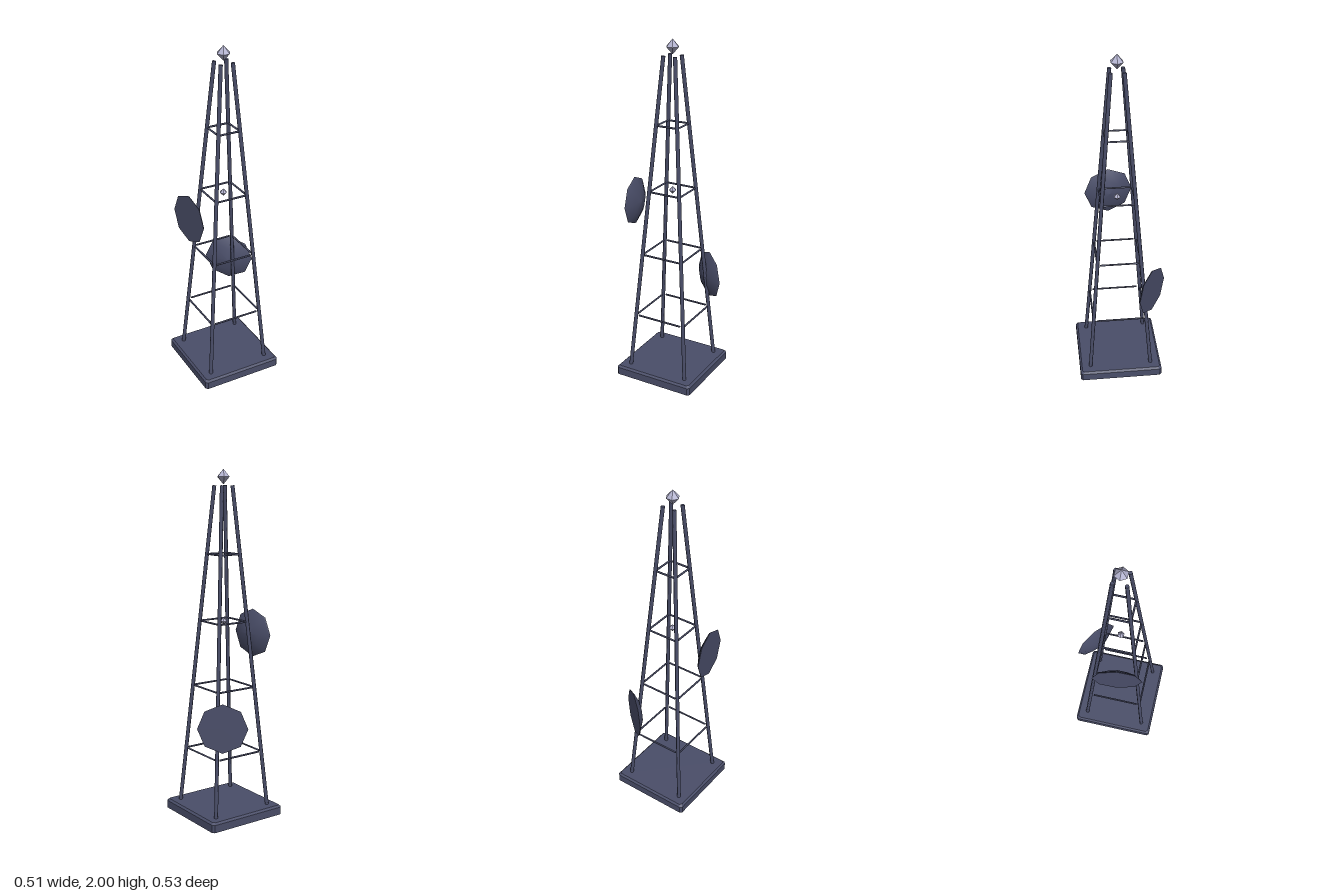
import * as THREE from 'three';

const AXIS_Z = 0.0125; // the tower stands slightly forward of the centre
const LEG_TOP = 1.91, SPREAD_BOTTOM = 0.188, SPREAD_TOP = 0.036;

// Half-width of the tower at height y
const spreadAt = y => THREE.MathUtils.lerp(SPREAD_BOTTOM, SPREAD_TOP, y / LEG_TOP);

// Round bar between two points
function bar(name, a, b, radius, sides, material) {
  const dir = b.clone().sub(a);
  const mesh = new THREE.Mesh(new THREE.CylinderGeometry(radius, radius, dir.length(), sides), material);
  mesh.name = name;
  mesh.position.copy(a).add(b).multiplyScalar(0.5);
  mesh.quaternion.setFromUnitVectors(new THREE.Vector3(0, 1, 0), dir.normalize());
  return mesh;
}

// Square slab with cut corners and a chamfered top edge
function slabGeometry(half, cut, bottom, top, chamfer) {
  const i = half - cut;
  const shape = new THREE.Shape([
    [half, -i], [half, i], [i, half], [-i, half], [-half, i], [-half, -i], [-i, -half], [i, -half],
  ].map(([x, y]) => new THREE.Vector2(x, y)));
  const geo = new THREE.ExtrudeGeometry(shape, { depth: 1, steps: 2, bevelEnabled: false });
  const p = geo.attributes.position;
  const inset = (half - chamfer) / half;
  for (let k = 0; k < p.count; k++) {
    const z = p.getZ(k);
    if (z > 0.75) p.setXYZ(k, p.getX(k) * inset, p.getY(k) * inset, top);
    else p.setZ(k, z > 0.25 ? top - chamfer : bottom);
  }
  geo.rotateX(-Math.PI / 2);
  geo.computeVertexNormals();
  return geo;
}

// Shallow eight-sided dish: smooth domed back, flat front facing +z
function dish(name, x, y, z, nx, nz, material) {
  const group = new THREE.Group();
  group.name = name;
  const profile = [[0.143, 0], [0.137, 0.007], [0.075, 0.034], [0, 0.045]]
    .map(([r, h]) => new THREE.Vector2(r, h));
  const back = new THREE.Mesh(new THREE.LatheGeometry(profile, 8).rotateX(-Math.PI / 2), material);
  back.name = 'dishBack';
  const face = new THREE.Mesh(new THREE.CircleGeometry(0.143, 8), material);
  face.name = 'dishFace';
  group.add(back, face);
  group.position.set(x, y, z);
  group.rotation.y = Math.atan2(nx, nz);
  return group;
}

export function createModel() {
  const steel = new THREE.MeshStandardMaterial({ color: 0x4a4e69 });
  steel.name = 'slateSteel';
  const glass = new THREE.MeshStandardMaterial({ color: 0xb2b2ce, flatShading: true });
  glass.name = 'paleBeacon';

  const model = new THREE.Group();
  model.name = 'radioTower';
  const tower = new THREE.Group();
  tower.name = 'tower';
  tower.position.z = AXIS_Z;
  model.add(tower);

  // Foundation slab
  const base = new THREE.Mesh(slabGeometry(0.247, 0.012, 0.004, 0.06, 0.011), steel);
  base.name = 'base';
  tower.add(base);

  // Four leaning legs
  for (const sx of [-1, 1]) for (const sz of [-1, 1]) {
    tower.add(bar('leg',
      new THREE.Vector3(sx * SPREAD_BOTTOM, 0.004, sz * SPREAD_BOTTOM),
      new THREE.Vector3(sx * SPREAD_TOP, LEG_TOP, sz * SPREAD_TOP), 0.011, 6, steel));
  }

  // Four square rings of cross bars
  for (const y of [0.385, 0.768, 1.148, 1.53]) {
    const s = spreadAt(y), h = s * 0.88;
    for (const side of [-1, 1]) {
      tower.add(bar('crossBar', new THREE.Vector3(-h, y, side * s), new THREE.Vector3(h, y, side * s), 0.0055, 6, steel));
      tower.add(bar('crossBar', new THREE.Vector3(side * s, y, -h), new THREE.Vector3(side * s, y, h), 0.0055, 6, steel));
    }
  }

  // Faceted beacons: one above the legs, a small one halfway up
  for (const [name, r, h, y] of [['topBeacon', 0.038, 0.0425, 1.9575], ['middleBeacon', 0.021, 0.023, 1.148]]) {
    const beacon = new THREE.Mesh(new THREE.SphereGeometry(1, 6, 2), glass);
    beacon.name = name;
    beacon.scale.set(r, h, r);
    beacon.position.y = y;
    tower.add(beacon);
  }

  // Two antenna dishes facing outward
  model.add(dish('upperDish', -0.235, 1.052, 0.0425, -0.99, 0.14, steel));
  model.add(dish('lowerDish', 0.143, 0.578, -0.179, 0.607, -0.795, steel));
  return model;
}
